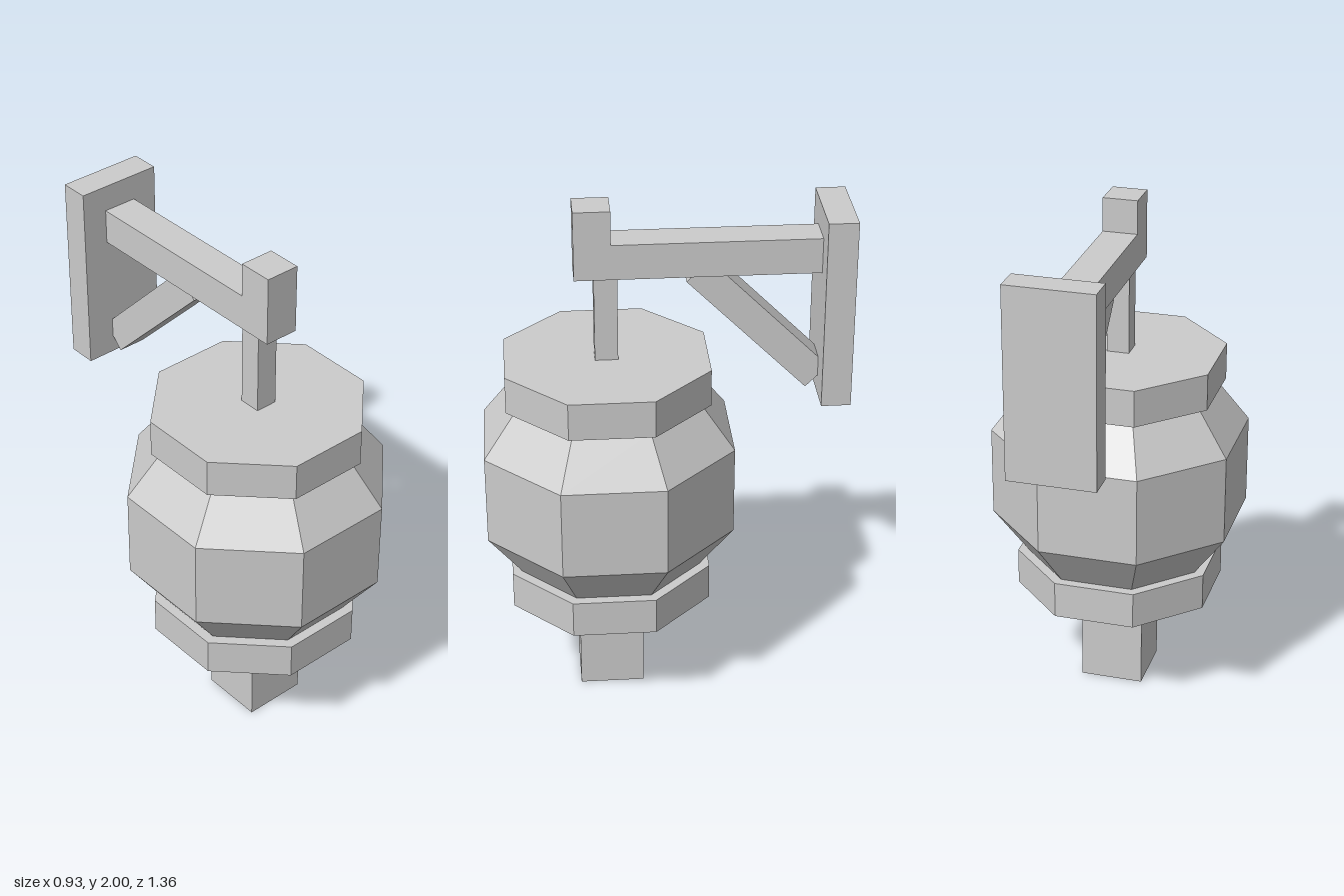
import * as THREE from 'three';

const AXIS_Z = 0.215; // depth of the hanging lantern's axis

export function createModel() {
  const model = new THREE.Group();
  const material = new THREE.MeshStandardMaterial({ color: 0xcccccc, flatShading: true });

  function add(name, geometry, x, y, z, parent = model) {
    const mesh = new THREE.Mesh(geometry, material);
    mesh.name = name;
    mesh.position.set(x, y, z);
    parent.add(mesh);
    return mesh;
  }

  // Box centred on x = 0, given by its width and its y and z ranges
  const box = (name, w, y0, y1, z0, z1, parent) =>
    add(name, new THREE.BoxGeometry(w, y1 - y0, z1 - z0), 0, (y0 + y1) / 2, (z0 + z1) / 2, parent);

  // Square post on the lantern's axis
  const post = (name, w, y0, y1, parent) =>
    box(name, w, y0, y1, AXIS_Z - w / 2, AXIS_Z + w / 2, parent);

  // Octagonal section with flat sides facing the axes; sizes are centre to flat
  function octagon(name, bottom, top, y0, y1, open, parent) {
    const k = 1 / Math.cos(Math.PI / 8);
    const geometry = new THREE.CylinderGeometry(top * k, bottom * k, y1 - y0, 8, 1, open);
    geometry.rotateY(Math.PI / 8);
    return add(name, geometry, 0, (y0 + y1) / 2, AXIS_Z, parent);
  }

  // Wall bracket
  const bracket = new THREE.Group();
  bracket.name = 'wallBracket';
  model.add(bracket);
  box('wallPlate', 0.334, 1.24, 1.97, -0.68, -0.57, bracket);
  box('arm', 0.134, 1.735, 1.87, -0.57, 0.195, bracket);
  box('armEnd', 0.134, 1.735, 2, 0.195, 0.33, bracket);
  const brace = add('brace', new THREE.BoxGeometry(0.11, 0.118, 0.632), 0, 1.53, -0.343, bracket);
  brace.rotation.x = -Math.PI / 4;

  // Hanging lantern
  const lantern = new THREE.Group();
  lantern.name = 'lantern';
  model.add(lantern);
  post('hangingRod', 0.086, 1.4, 1.735, lantern);
  octagon('topCap', 0.378, 0.378, 1.255, 1.4, false, lantern);
  octagon('upperTaper', 0.465, 0.34, 1.08, 1.255, true, lantern);
  octagon('body', 0.465, 0.465, 0.73, 1.08, true, lantern);
  octagon('lowerTaper', 0.34, 0.465, 0.55, 0.73, true, lantern);
  octagon('bottomCap', 0.378, 0.378, 0.405, 0.55, false, lantern);

  // Tassel below the lantern
  post('tasselNeck', 0.134, 0.315, 0.405, lantern);
  post('tassel', 0.247, 0, 0.315, lantern);

  return model;
}
